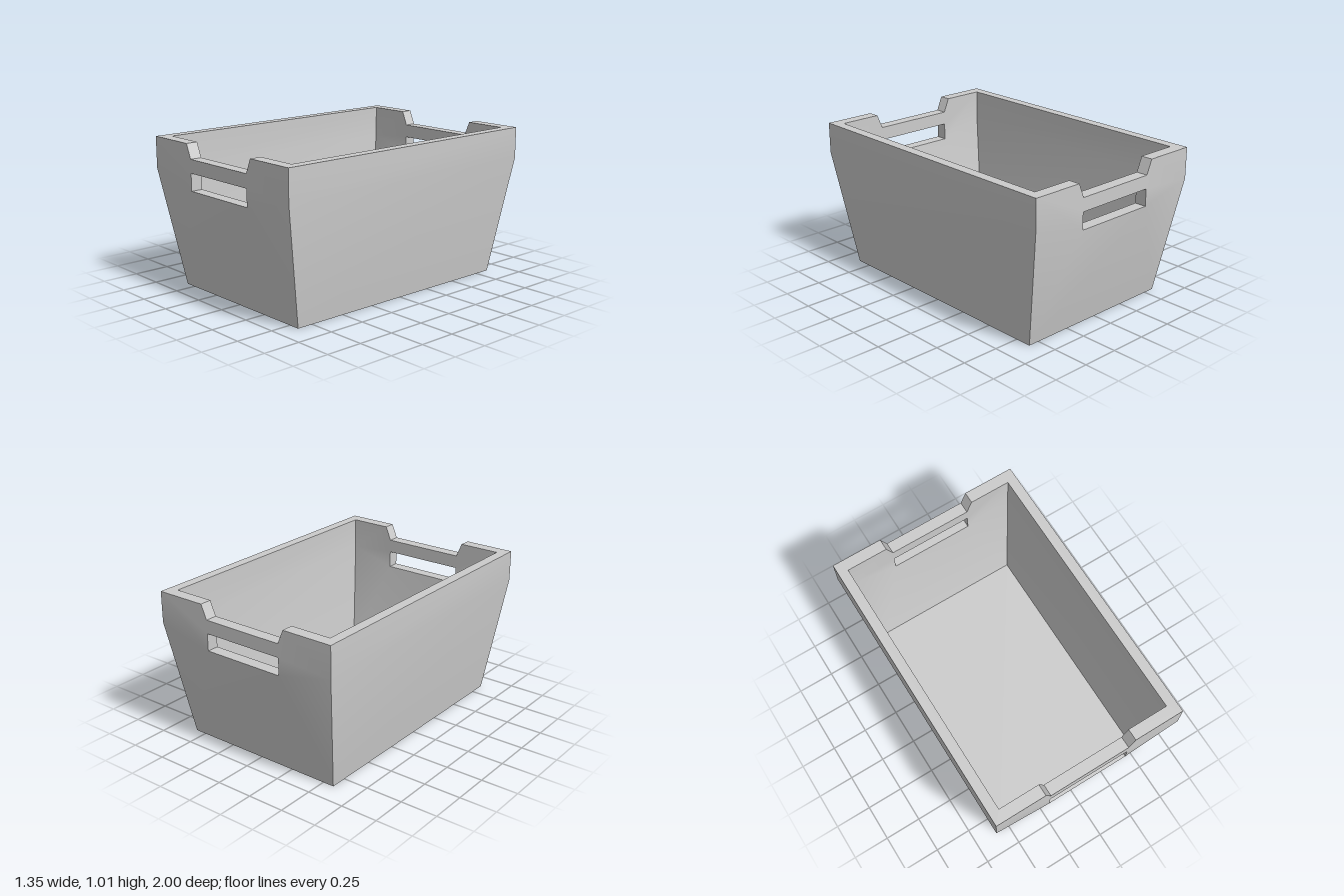
import * as THREE from 'three';
import { toCreasedNormals } from 'three/addons/utils/BufferGeometryUtils.js';

const TOP = 1.01, BEND = 0.8;
// half sizes of the outer and inner shell: base corner (x, y, z) and rim corner (x, z)
const OUTER = { bx: 0.577, by: 0, bz: 0.86, x: 0.675, z: 1 };
const INNER = { bx: 0.52, by: 0.07, bz: 0.787, x: 0.607, z: 0.92 };

const material = new THREE.MeshStandardMaterial({ color: 0xcccccc });

// Mesh from convex polygons, with soft bends and sharp corners
function polygonMesh(name, polygons) {
  const positions = [];
  for (const p of polygons) {
    for (let i = 1; i < p.length - 1; i++) positions.push(...p[0], ...p[i], ...p[i + 1]);
  }
  const geometry = new THREE.BufferGeometry();
  geometry.setAttribute('position', new THREE.Float32BufferAttribute(positions, 3));
  const mesh = new THREE.Mesh(toCreasedNormals(geometry, 0.5), material);
  mesh.name = name;
  return mesh;
}

const flipped = (polygons) => polygons.map((p) => [...p].reverse());

// Upright upper part of an end wall, with rim notch and hand slot, anticlockwise
function upperOutline({ x, z }) {
  const right = [[x, BEND], [x, TOP], [0.325, TOP], [0.285, 0.915]];
  const left = right.map(([px, py]) => [-px, py]).reverse();
  const slot = [[-0.285, 0.71], [-0.285, 0.825], [0.285, 0.825], [0.285, 0.71]];
  return [...right, ...left, ...slot].map(([px, py]) => [px, py, z]);
}

// One skin of an end wall: upright upper part and tapered lower part
function endSkin(shell) {
  const p = upperOutline(shell);
  const faces = THREE.ShapeUtils.triangulateShape(p.map(([x, y]) => new THREE.Vector2(x, y)), []);
  const r = [shell.bx, shell.by, shell.bz];
  const l = [-shell.bx, shell.by, shell.bz];
  return [
    ...faces.map((f) => f.map((i) => p[i])),
    [l, r, p[11], p[8]], [r, p[0], p[11]], [l, p[8], p[7]],
  ];
}

function endWall(name) {
  const a = upperOutline(OUTER), b = upperOutline(INNER);
  // rim and slot edges join the two skins
  const edges = [[1, 2], [2, 3], [3, 4], [4, 5], [5, 6], [8, 9], [9, 10], [10, 11], [11, 8]];
  const joins = edges.map(([i, j]) => [a[i], b[i], b[j], a[j]]);
  return polygonMesh(name, [...endSkin(OUTER), ...flipped(endSkin(INNER)), ...joins]);
}

// One skin of a side wall: tapered lower and upright upper strip
function sideSkin({ bx, by, bz, x, z }) {
  return [
    [[bx, by, bz], [bx, by, -bz], [x, BEND, -z], [x, BEND, z]],
    [[x, BEND, z], [x, BEND, -z], [x, TOP, -z], [x, TOP, z]],
  ];
}

function sideWall(name) {
  const o = OUTER, n = INNER;
  const rim = [[o.x, TOP, o.z], [o.x, TOP, -o.z], [n.x, TOP, -n.z], [n.x, TOP, n.z]];
  return polygonMesh(name, [...sideSkin(o), ...flipped(sideSkin(n)), rim]);
}

// Upward-facing rectangle at the base of a shell
const baseFace = ({ bx, by, bz }) => [[-bx, by, bz], [bx, by, bz], [bx, by, -bz], [-bx, by, -bz]];

export function createModel() {
  const bin = new THREE.Group();
  bin.name = 'storageBin';

  const front = endWall('frontWall');
  const back = endWall('backWall');
  const left = sideWall('leftWall');
  const right = sideWall('rightWall');
  back.rotation.y = right.rotation.y = Math.PI;

  const floor = polygonMesh('floor', [baseFace(INNER), ...flipped([baseFace(OUTER)])]);
  bin.add(front, back, left, right, floor);
  return bin;
}
